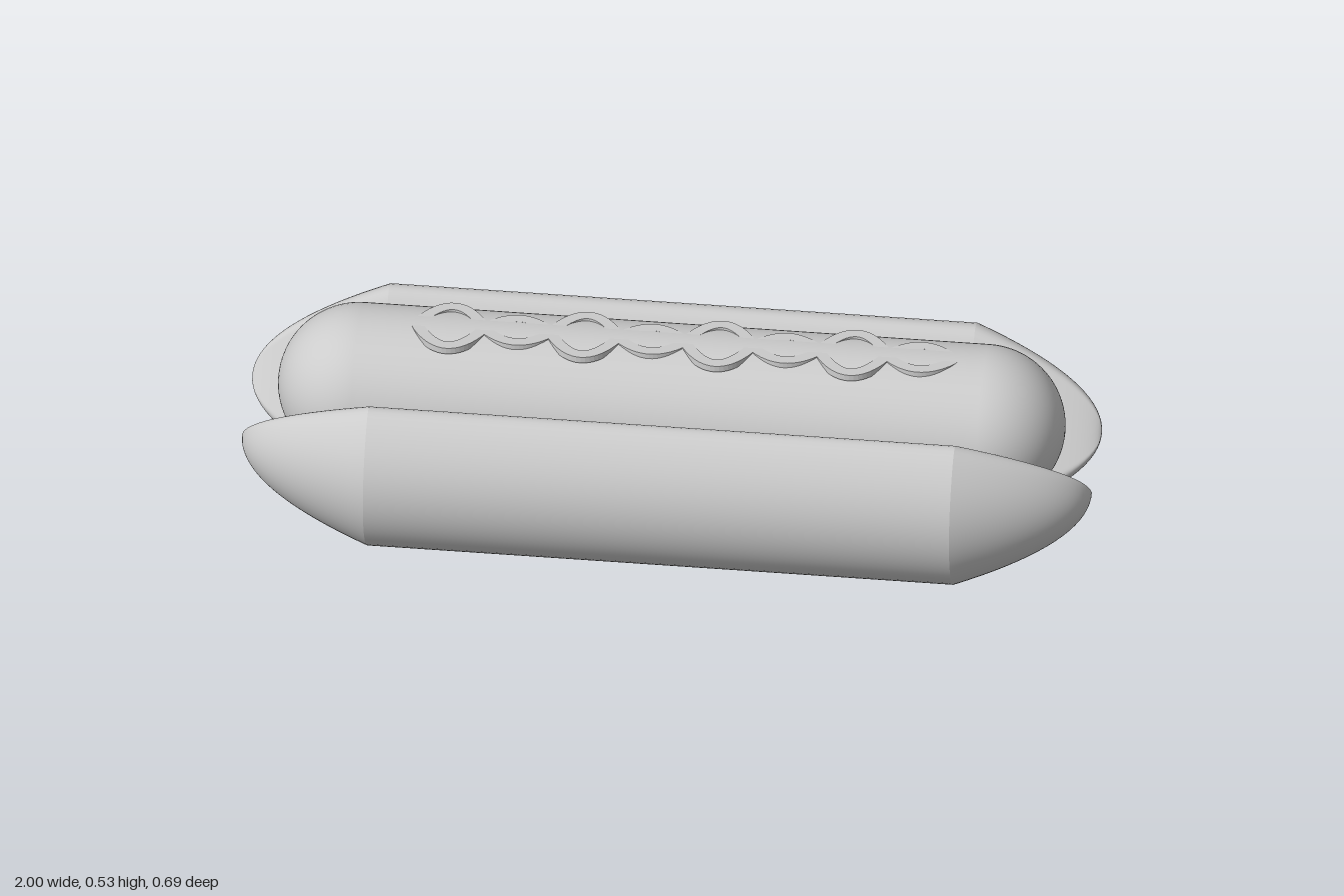
import * as THREE from 'three';
import { mergeGeometries } from 'three/addons/utils/BufferGeometryUtils.js';

const material = new THREE.MeshStandardMaterial({ color: 0xcccccc });
const RING = 72;

// Bun cross-section: a circle cut by a chord, with softly rounded corners (u along the cut, v across it)
function bunSection(radius, cut, soft) {
  const points = [];
  for (let k = 0; k < RING; k++) {
    const a = (k / RING) * Math.PI * 2;
    const v = radius * Math.sin(a);
    const h = THREE.MathUtils.clamp(0.5 + (0.5 * (v - cut)) / soft, 0, 1);
    points.push([radius * Math.cos(a), v * (1 - h) + cut * h - soft * h * (1 - h)]);
  }
  return points;
}

// Loft a section along x through stations of [x, scale]
function loft(section, stations, place, flip) {
  const positions = [], index = [];
  stations.forEach(([x, s], i) => {
    section.forEach(([u, v], k) => {
      positions.push(x, ...place(u * s, v * s));
      if (i === stations.length - 1) return;
      const a = i * RING + k, b = i * RING + ((k + 1) % RING);
      const c = b + RING, d = a + RING;
      if (flip) index.push(a, c, d, a, b, c);
      else index.push(a, d, c, a, c, b);
    });
  });
  const geometry = new THREE.BufferGeometry();
  geometry.setAttribute('position', new THREE.Float32BufferAttribute(positions, 3));
  geometry.setIndex(index);
  geometry.computeVertexNormals();
  return geometry;
}

// One bun half: straight body with a parabolic tip at each end
function bunHalf(name, side, y, z, radius, degrees) {
  const angle = THREE.MathUtils.degToRad(degrees);
  const c = Math.cos(angle), n = Math.sin(angle);
  const place = (u, v) => [y + u * n + v * c, side * (z + u * c - v * n)];
  const section = bunSection(radius, 0.058, 0.08);
  const body = 0.69, steps = 18, tip = [];
  for (let i = 0; i <= steps; i++) {
    const s = 1 - i / steps;
    tip.push([body + (1 - body) * (1 - s * s), s]);
  }
  const otherTip = tip.map(([x, s]) => [-x, s]).reverse();
  const parts = [otherTip, [[-body, 1], [body, 1]], tip];
  const geometry = mergeGeometries(parts.map((st) => loft(section, st, place, side < 0)));
  const mesh = new THREE.Mesh(geometry, material);
  mesh.name = name;
  return mesh;
}

// One flat wavy ribbon; two mirrored ones cross to form alternating large and small loops
function sauceStrand(side) {
  const start = -0.6, pitch = 0.158, loops = 8, half = 0.014, samples = 160;
  const path = [];
  for (let i = 0; i <= samples; i++) {
    const t = (i / samples) * loops;
    const amplitude = Math.floor(Math.min(t, loops - 0.001)) % 2 ? 0.048 : 0.08;
    const wave = Math.sin(Math.PI * (t % 2));
    const lobe = Math.pow(Math.abs(wave), 0.8) * Math.sign(wave);
    path.push(new THREE.Vector2(start + t * pitch, side * amplitude * lobe));
  }
  const edge = (sign) => path.map((p, i) => {
    const a = path[Math.max(i - 1, 0)], b = path[Math.min(i + 1, samples)];
    const dir = b.clone().sub(a).normalize();
    return new THREE.Vector2(p.x - dir.y * half * sign, p.y + dir.x * half * sign);
  });
  const shape = new THREE.Shape([...edge(-1), ...edge(1).reverse()]);
  const geometry = new THREE.ExtrudeGeometry(shape, { depth: 0.016, bevelEnabled: false });
  geometry.rotateX(-Math.PI / 2);
  const mesh = new THREE.Mesh(geometry, material);
  mesh.name = side > 0 ? 'sauceStrandA' : 'sauceStrandB';
  return mesh;
}

export function createModel() {
  const group = new THREE.Group();
  group.name = 'hotDog';

  // Bun halves, each opened outwards
  group.add(bunHalf('frontBun', 1, 0.237, 0.11, 0.236, 47));
  group.add(bunHalf('backBun', -1, 0.25, 0.107, 0.237, 49));

  // Sausage
  const radius = 0.19;
  const sausage = new THREE.Mesh(
    new THREE.CapsuleGeometry(radius, 2 * (0.926 - radius), 20, 56).rotateZ(Math.PI / 2), material);
  sausage.name = 'sausage';
  sausage.position.set(0, 0.335, 0.005);
  group.add(sausage);

  // Sauce, lying flat and slightly tilted on the sausage
  const sauce = new THREE.Group();
  sauce.name = 'sauce';
  sauce.add(sauceStrand(1), sauceStrand(-1));
  sauce.position.set(0, 0.508, 0.007);
  sauce.rotation.x = -0.05;
  group.add(sauce);

  return group;
}
